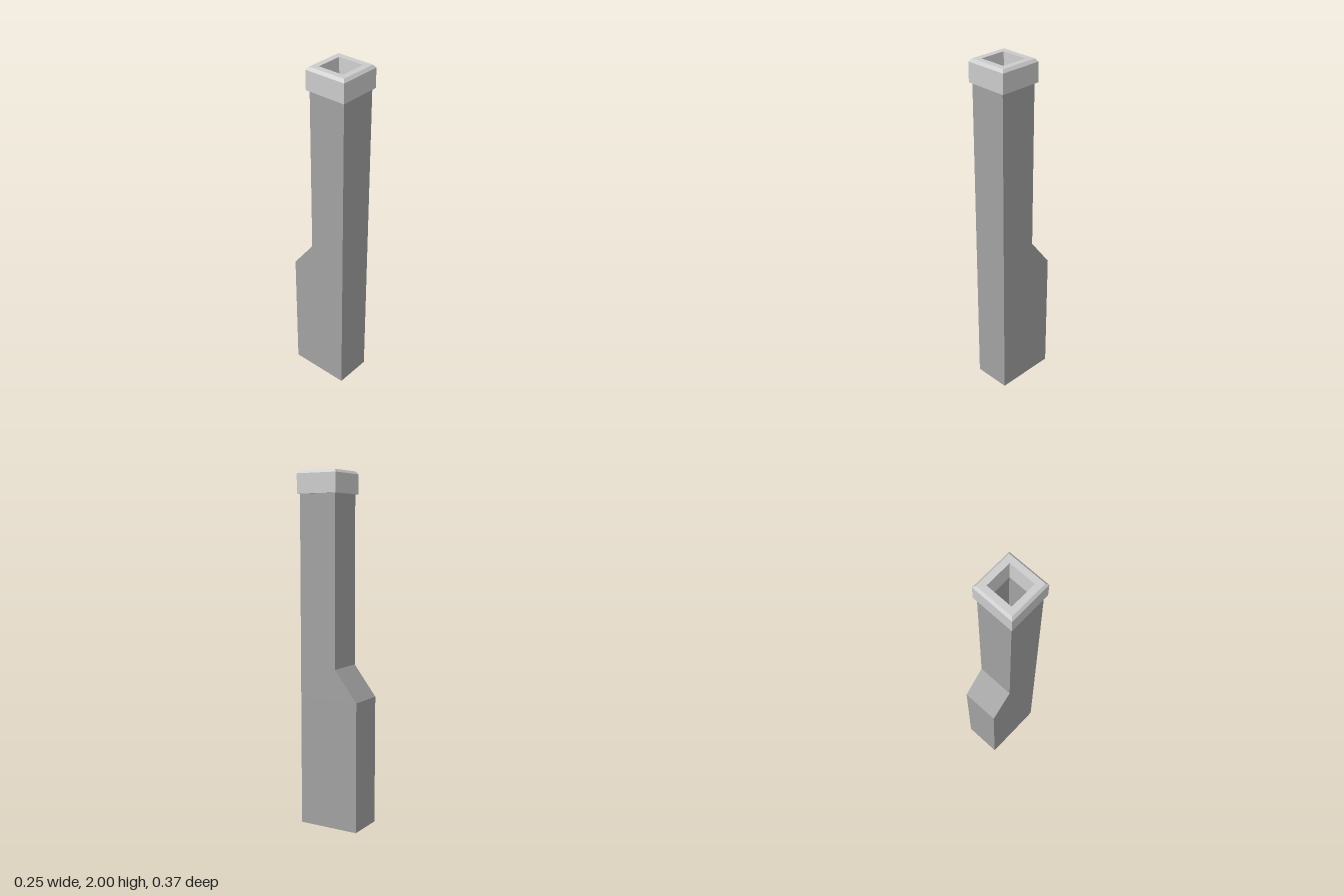
import * as THREE from 'three';

// Open square shaft skinned through rectangular sections [y, zFront, zBack]
function shaftGeometry(halfWidth, sections) {
  const positions = [];
  const index = [];
  for (const [y, front, back] of sections) {
    positions.push(
      -halfWidth, y, front, halfWidth, y, front,
      halfWidth, y, back, -halfWidth, y, back);
  }
  for (let s = 0; s < sections.length - 1; s++) {
    for (let i = 0; i < 4; i++) {
      const a = s * 4 + i;
      const b = s * 4 + (i + 1) % 4;
      index.push(a, b, b + 4, a, b + 4, a + 4);
    }
  }
  const geometry = new THREE.BufferGeometry();
  geometry.setAttribute('position', new THREE.Float32BufferAttribute(positions, 3));
  geometry.setIndex(index);
  geometry.computeVertexNormals();
  return geometry;
}

// Square ring turned from a closed profile of [halfWidth, y]
function squareRingGeometry(profile) {
  const points = profile.map(([w, y]) => new THREE.Vector2(w * Math.SQRT2, y));
  return new THREE.LatheGeometry(points, 4, Math.PI / 4);
}

export function createModel() {
  const group = new THREE.Group();
  group.name = 'chimney';

  // Darker stack, wide at the base with a sloped shoulder at the back
  const stack = new THREE.Mesh(
    shaftGeometry(0.11, [
      [0, 0.174, -0.185],
      [0.74, 0.174, -0.185],
      [0.915, 0.174, -0.05],
      [1.875, 0.174, -0.05],
    ]),
    new THREE.MeshStandardMaterial({ color: 0xa2a2a2, flatShading: true, side: THREE.DoubleSide }));
  stack.name = 'stack';
  group.add(stack);

  // Bevelled cap with a slightly tapering flue opening
  const cap = new THREE.Mesh(
    squareRingGeometry([
      [0.07, 1.875],
      [0.124, 1.875],
      [0.124, 1.984],
      [0.111, 2],
      [0.077, 2],
      [0.07, 1.875],
    ]),
    new THREE.MeshStandardMaterial({ color: 0xcccccc, flatShading: true }));
  cap.name = 'cap';
  cap.position.z = 0.061;
  group.add(cap);

  return group;
}
